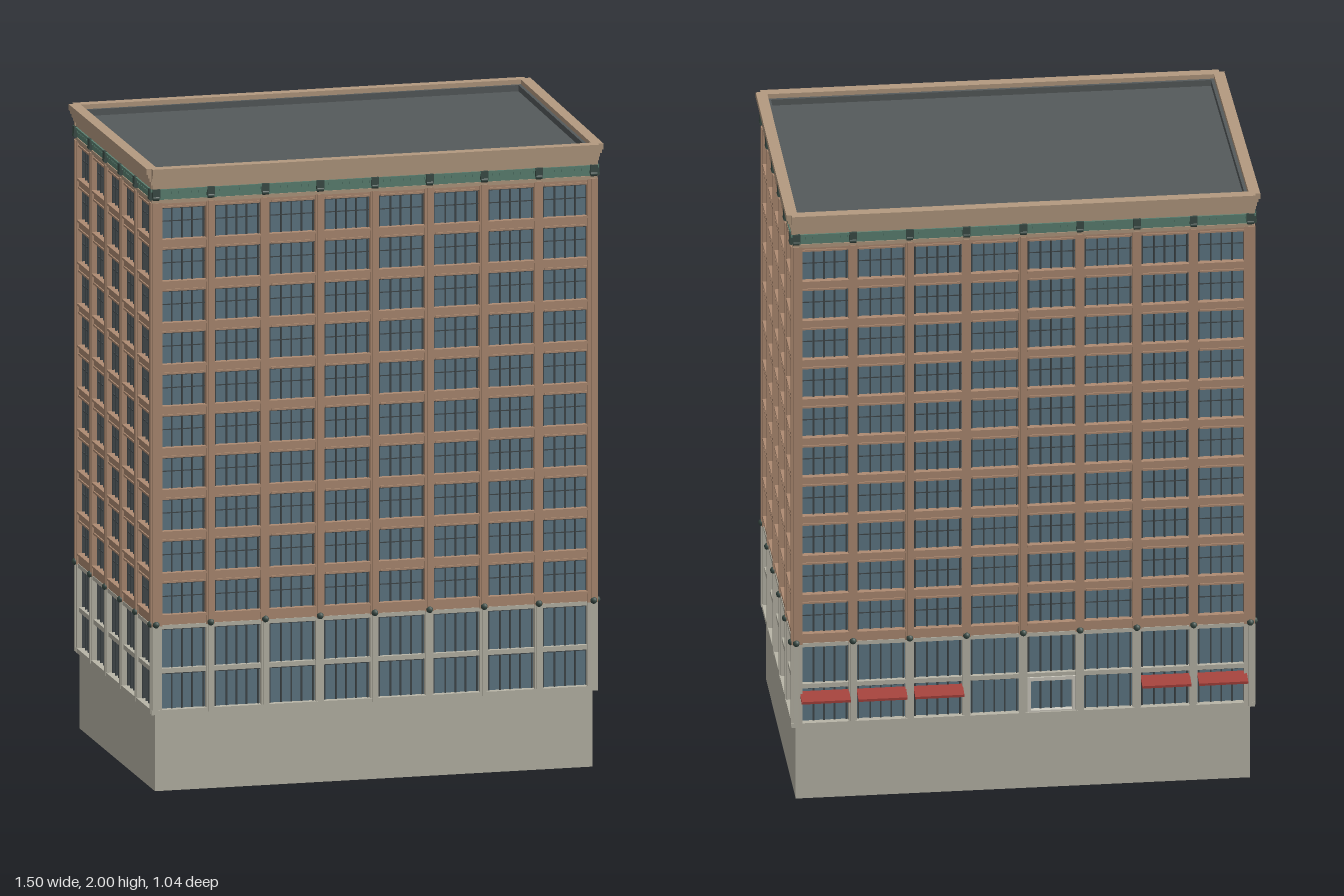
import * as THREE from 'three';
import { mergeGeometries } from 'three/addons/utils/BufferGeometryUtils.js';

const mat = (color) => new THREE.MeshStandardMaterial({ color });
const M = {
  brick: mat(0xae8b72), trim: mat(0xb39a80), stone: mat(0xb9b6a8), glass: mat(0x5f7885),
  frame: mat(0x40474a), roof: mat(0x555a5b), copper: mat(0x5c8273), dark: mat(0x3b4d47),
  awning: mat(0xa3403a), door: mat(0xd0cdc2),
};

// Slightly skewed plan, corners [x, z]: front left of page, then counter-clockwise
const PLAN = [[-0.695, 0.486], [0.718, 0.459], [0.711, -0.474], [-0.719, -0.44]];
const BAYS = [8, 5, 8, 5];
const FLOORS = 10, FLOOR_Y = 0.566, PITCH = 0.1337, WINDOW_H = 0.101;

// Solid prism over the plan, between two heights
function prism(name, material, y0, y1, scale = 1) {
  const shape = new THREE.Shape(PLAN.map(([x, z]) => new THREE.Vector2(x * scale, -z * scale)));
  const g = new THREE.ExtrudeGeometry(shape, { depth: y1 - y0, bevelEnabled: false });
  g.rotateX(-Math.PI / 2).translate(0, y0, 0);
  const mesh = new THREE.Mesh(g, material);
  mesh.name = name;
  return mesh;
}

// Box spanning u0..u1 along the wall, y0..y1 in height, z0..z1 outward
const box = (u0, u1, y0, y1, z0, z1) =>
  new THREE.BoxGeometry(u1 - u0, y1 - y0, z1 - z0)
    .translate((u0 + u1) / 2, (y0 + y1) / 2, (z0 + z1) / 2);

function facade(name, length, bays, isBack) {
  const group = new THREE.Group();
  group.name = name;
  const add = (part, material, geos) => {
    const mesh = new THREE.Mesh(mergeGeometries(geos), material);
    mesh.name = part;
    group.add(mesh);
  };
  const bay = length / bays;
  const cols = Array.from({ length: bays + 1 }, (_, i) => i * bay);
  const wins = cols.slice(0, -1);
  const edge = (o) => [-o, length + o];

  // Piers
  add('brickPiers', M.brick, cols.flatMap((u) => [
    box(u - 0.014, u + 0.014, 0.53, 1.888, -0.02, 0.012),
    box(u - 0.008, u + 0.008, 0.53, 1.888, 0, 0.016),
  ]));
  add('stonePiers', M.stone, cols.flatMap((u) => [
    box(u - 0.013, u + 0.013, 0.25, 0.53, -0.02, 0.012),
    box(u - 0.007, u + 0.007, 0.25, 0.53, 0, 0.016),
  ]));
  add('pierBosses', M.dark, cols.map((u) =>
    new THREE.SphereGeometry(0.011, 10, 8).translate(u, 0.536, 0.014)));

  // Stone bands around the two lower storeys
  add('stoneBands', M.stone, [
    box(...edge(0.014), 0.247, 0.262, -0.02, 0.014),
    box(...edge(0.004), 0.378, 0.393, -0.02, 0.007),
    box(...edge(0.004), 0.52, 0.533, -0.02, 0.01),
  ]);

  // Brick spandrels with a sill and a head moulding on every floor
  const spandrels = [box(...edge(0.004), 0.533, FLOOR_Y, -0.02, 0.008)];
  const sills = [];
  for (let f = 0; f < FLOORS; f++) {
    const y = FLOOR_Y + f * PITCH, top = y + WINDOW_H;
    const next = f < FLOORS - 1 ? y + PITCH : 1.89;
    spandrels.push(box(...edge(0.004), top, next, -0.02, 0.006));
    for (const u of wins) {
      sills.push(box(u + 0.014, u + bay - 0.014, y - 0.007, y, -0.015, 0.013));
      sills.push(box(u + 0.02, u + bay - 0.02, top, top + 0.006, -0.015, 0.01));
    }
  }
  add('spandrels', M.brick, spandrels);
  add('sills', M.brick, sills);

  // Window frames and mullions
  const bars = [];
  const addWindow = (u, y0, y1, rail) => {
    const a = u + 0.014, b = u + bay - 0.014, w = b - a;
    for (const t of [0.03, 0.28, 0.5, 0.72, 0.97]) {
      const c = a + t * w, h = 0.0025;
      bars.push(box(c - h, c + h, y0, y1, -0.013, -0.003));
    }
    bars.push(box(a, b, y1 - 0.005, y1, -0.013, -0.003));
    if (rail) bars.push(box(a, b, rail - 0.0015, rail + 0.0015, -0.013, -0.005));
  };
  for (const u of wins) {
    addWindow(u, 0.262, 0.378);
    addWindow(u, 0.393, 0.52);
    for (let f = 0; f < FLOORS; f++) {
      const y = FLOOR_Y + f * PITCH;
      addWindow(u, y, y + WINDOW_H, y + WINDOW_H * 0.55);
    }
  }
  add('windowFrames', M.frame, bars);

  // Copper frieze with dentils and scroll brackets over the piers
  add('friezeMoulding', M.trim, [box(...edge(0.012), 1.885, 1.897, -0.02, 0.012)]);
  add('frieze', M.copper, [box(...edge(0.008), 1.897, 1.925, -0.02, 0.009)]);
  const dentils = [box(...edge(0.015), 1.924, 1.932, -0.02, 0.017)];
  const n = bays * 8;
  for (let i = 0; i < n; i++) {
    const u = (i + 0.5) * length / n;
    dentils.push(box(u - 0.005, u + 0.005, 1.915, 1.925, 0, 0.013));
  }
  add('dentils', M.copper, dentils);
  add('brackets', M.dark, cols.flatMap((u) => [
    box(u - 0.012, u + 0.012, 1.905, 1.933, 0, 0.02),
    new THREE.CylinderGeometry(0.008, 0.008, 0.02, 10).rotateZ(Math.PI / 2).translate(u, 1.904, 0.014),
  ]));

  // Stepped cornice, which also forms the parapet
  const tiers = [[1.932, 1.947, 0.012], [1.947, 1.958, 0.017], [1.958, 1.97, 0.021],
    [1.97, 1.981, 0.026], [1.981, 2, 0.031]];
  add('cornice', M.trim, tiers.map(([y0, y1, out]) => box(...edge(0.015), y0, y1, -0.004, out)));
  add('parapetLining', M.roof, [box(0, length, 1.94, 1.985, -0.014, -0.004)]);

  if (isBack) {
    // Sloping shop awnings and the framed doorway
    const awnings = [0, 1, 2, 6, 7].map((i) => {
      const u0 = i * bay + 0.013, u1 = (i + 1) * bay - 0.011;
      const section = new THREE.Shape([[0, 0.366], [0.05, 0.35], [0.05, 0.342], [0, 0.356]]
        .map(([z, y]) => new THREE.Vector2(-z, y)));
      return new THREE.ExtrudeGeometry(section, { depth: u1 - u0, bevelEnabled: false })
        .rotateY(Math.PI / 2).translate(u0, 0, 0);
    });
    add('awnings', M.awning, awnings);
    const a = 4 * bay + 0.014, b = 5 * bay - 0.014;
    add('doorFrame', M.door, [
      box(a, a + 0.01, 0.255, 0.378, -0.015, 0.01),
      box(b - 0.01, b, 0.255, 0.378, -0.015, 0.01),
      box(a, b, 0.368, 0.38, -0.015, 0.012),
      box(a, b, 0.255, 0.267, -0.015, 0.01),
    ]);
  }
  return group;
}

export function createModel() {
  const model = new THREE.Group();
  model.name = 'officeBuilding';
  model.add(
    prism('base', M.stone, 0, 0.25),
    prism('glazing', M.glass, 0.25, 1.888, 0.983),
    prism('atticWall', M.brick, 1.888, 1.94, 0.995),
    prism('roof', M.roof, 1.94, 1.965, 0.99),
  );
  ['frontFacade', 'rightFacade', 'backFacade', 'leftFacade'].forEach((name, i) => {
    const [x0, z0] = PLAN[i], [x1, z1] = PLAN[(i + 1) % 4];
    const side = facade(name, Math.hypot(x1 - x0, z1 - z0), BAYS[i], i === 2);
    side.position.set(x0, 0, z0);
    side.rotation.y = Math.atan2(z0 - z1, x1 - x0);
    model.add(side);
  });
  return model;
}
